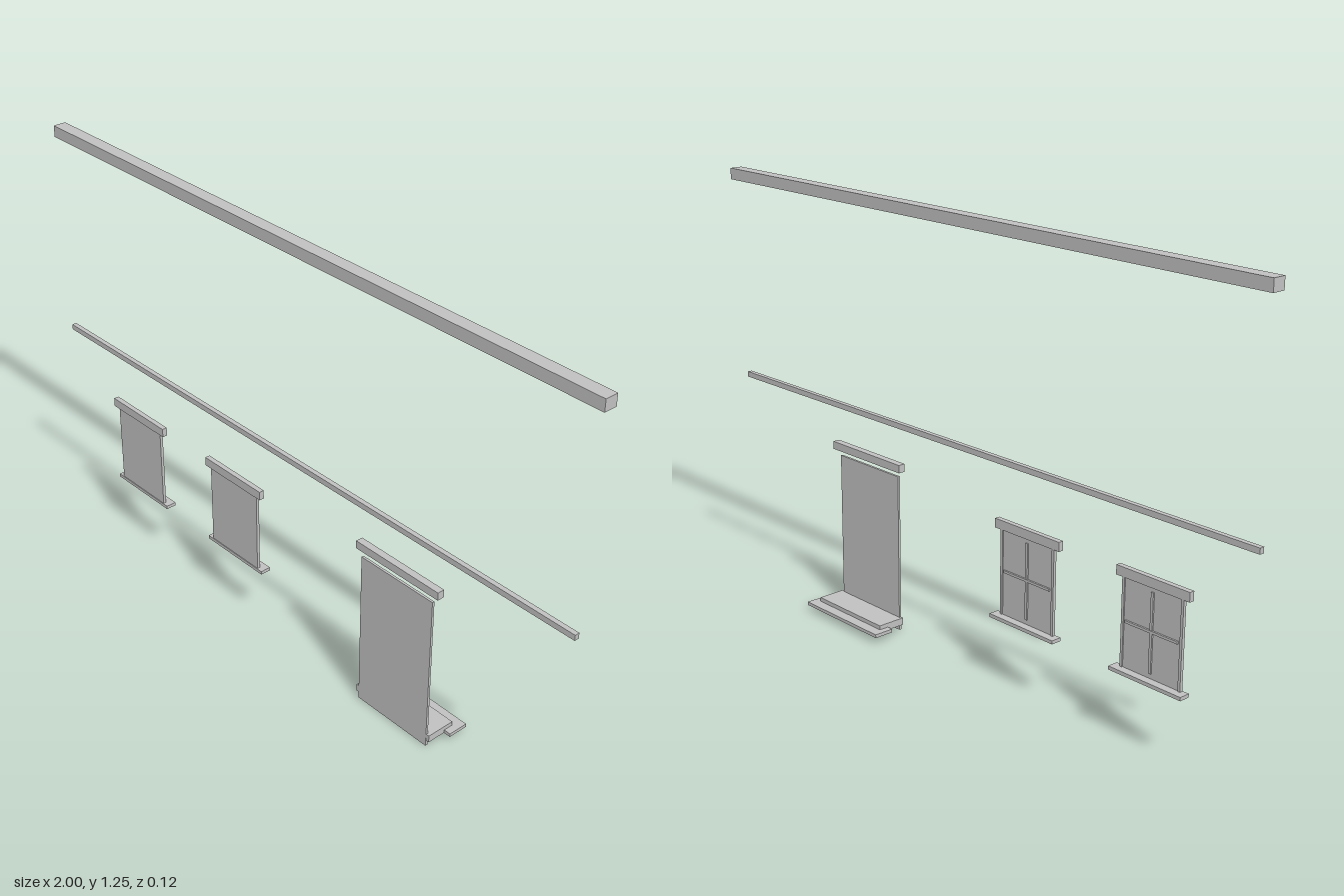
import * as THREE from 'three';

export function createModel() {
  const model = new THREE.Group();
  const grey = new THREE.MeshStandardMaterial({ color: 0xc0c0c0 });
  grey.name = 'plain grey';

  // Box given by its limits on each axis
  const block = (parent, name, [x0, x1], [y0, y1], [z0, z1]) => {
    const mesh = new THREE.Mesh(new THREE.BoxGeometry(x1 - x0, y1 - y0, z1 - z0), grey);
    mesh.position.set((x0 + x1) / 2, (y0 + y1) / 2, (z0 + z1) / 2);
    mesh.name = name;
    parent.add(mesh);
  };

  // Long horizontal mouldings
  block(model, 'corniceBeam', [-1, 1], [1.218, 1.251], [0.019, 0.057]);
  block(model, 'stringCourse', [-0.988, 0.986], [0.613, 0.629], [0.043, 0.057]);

  // Door with lintel and two steps behind it
  const door = new THREE.Group();
  door.name = 'door';
  block(door, 'doorLintel', [0.266, 0.561], [0.485, 0.508], [0.039, 0.06]);
  block(door, 'doorPanel', [0.285, 0.542], [0, 0.467], [0.051, 0.058]);
  block(door, 'upperStep', [0.276, 0.552], [0.018, 0.039], [-0.029, 0.057]);
  block(door, 'lowerStep', [0.257, 0.573], [0.017, 0.027], [-0.06, 0]);
  model.add(door);

  // Windows: pane, lintel, sill and glazing bars on the back face
  for (const x of [-0.675, -0.241]) {
    const win = new THREE.Group();
    win.name = 'window';
    win.position.x = x;
    block(win, 'windowPane', [-0.099, 0.099], [0.188, 0.437], [0.047, 0.053]);
    block(win, 'windowLintel', [-0.118, 0.118], [0.434, 0.46], [0.042, 0.057]);
    block(win, 'windowSill', [-0.118, 0.118], [0.183, 0.193], [0.024, 0.055]);
    block(win, 'verticalBar', [-0.004, 0.004], [0.207, 0.422], [0.043, 0.048]);
    block(win, 'horizontalBar', [-0.085, 0.085], [0.315, 0.322], [0.042, 0.048]);
    for (const s of [-1, 1]) {
      block(win, 'sideStile', [s * 0.095 - 0.004, s * 0.095 + 0.004], [0.193, 0.434], [0.044, 0.0525]);
    }
    model.add(win);
  }

  return model;
}
